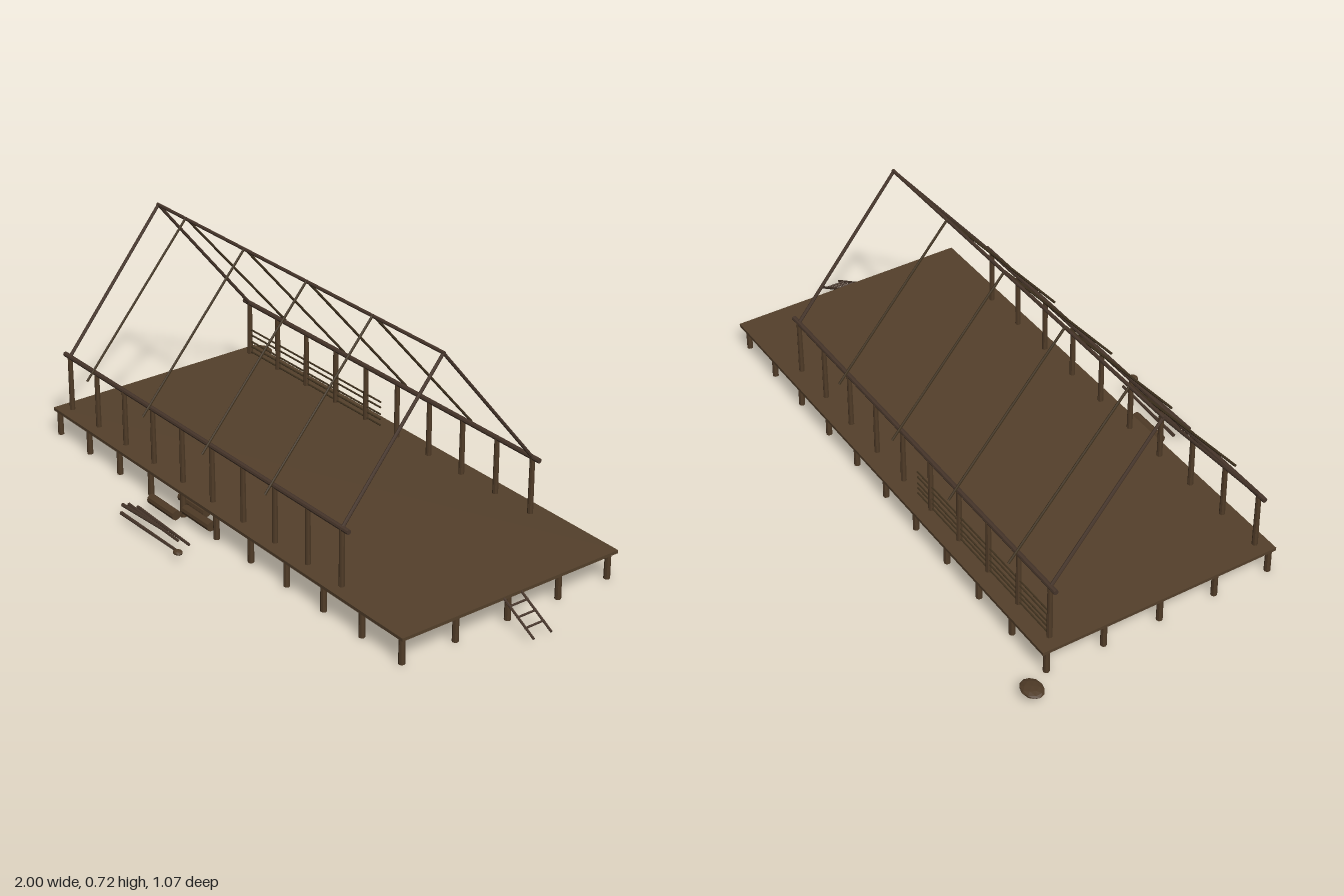
import * as THREE from 'three';

export function createModel() {
  const root = new THREE.Group();
  root.name = 'stiltHouseFrame';
  const mat = (name, color) => {
    const m = new THREE.MeshStandardMaterial({ color, flatShading: true });
    m.name = name;
    return m;
  };
  const plank = mat('deck brown', 0x54402b);
  const timber = mat('timber brown', 0x4f3b27);
  const beamWood = mat('beam brown', 0x46352a);
  const caneWood = mat('cane brown', 0x40321f);

  const group = (name) => {
    const g = new THREE.Group();
    g.name = name;
    root.add(g);
    return g;
  };
  // Round pole between two points
  const up = new THREE.Vector3(0, 1, 0);
  const pole = (parent, name, a, b, r0, r1, material, sides = 8) => {
    const p = new THREE.Vector3(...a), q = new THREE.Vector3(...b);
    const d = q.clone().sub(p);
    const m = new THREE.Mesh(new THREE.CylinderGeometry(r1, r0, d.length(), sides), material);
    m.position.copy(p).add(q).multiplyScalar(0.5);
    m.quaternion.setFromUnitVectors(up, d.normalize());
    m.name = name;
    parent.add(m);
    return m;
  };
  const midZ = -0.03, x0 = -0.863, x1 = 0.549;
  const wallZ = [0.323, -0.383];

  // Deck slab
  const deck = new THREE.Mesh(new THREE.BoxGeometry(1.78, 0.01, 0.8), plank);
  deck.position.set(-0.02, 0.087, -0.035);
  deck.name = 'deck';
  root.add(deck);

  // Stilts in five rows, each row carrying a thin joist
  const stilts = group('stilts'), joists = group('joists');
  for (let j = 0; j < 5; j++) {
    const z = 0.352 - j * 0.191;
    for (let i = 0; i < 11; i++) {
      const x = -0.893 + i * 0.1746;
      pole(stilts, 'stilt', [x, 0, z], [x, 0.083, z], 0.01, 0.0095, timber);
    }
    pole(joists, 'joist', [-0.9, 0.081, z], [0.862, 0.081, z], 0.004, 0.004, beamWood, 6);
  }

  // Wall posts and top plates
  const walls = group('walls');
  for (const z of wallZ) {
    for (let i = 0; i < 10; i++) {
      const x = x0 + (x1 - x0) * i / 9;
      pole(walls, 'wallPost', [x, 0.09, z], [x, 0.275, z], 0.009, 0.008, timber);
    }
    pole(walls, 'topPlate', [-0.892, 0.277, z], [0.58, 0.277, z], 0.008, 0.008, beamWood);
  }

  // Ridge, end rafters, and overhanging inner rafters
  const roof = group('roofFrame');
  pole(roof, 'ridge', [x0 - 0.004, 0.713, midZ], [x1 + 0.004, 0.713, midZ], 0.0055, 0.0055, beamWood);
  for (const x of [x0, x1])
    for (const z of wallZ)
      pole(roof, 'endRafter', [x, 0.277, z], [x, 0.712, midZ], 0.0055, 0.005, beamWood);
  for (let i = 0; i < 4; i++) {
    const x = -0.708 + i * 0.3145;
    for (const s of [-1, 1])
      pole(roof, 'rafter', [x, 0.259, midZ + s * 0.388], [x, 0.716, midZ], 0.004, 0.004, caneWood, 6);
  }

  // Cane rails on part of the back wall
  const rails = group('wallCanes');
  for (const y of [0.1, 0.12, 0.138, 0.162, 0.181])
    pole(rails, 'cane', [x0, y, wallZ[1]], [-0.16, y, wallZ[1]], 0.003, 0.003, caneWood, 6);

  // Ladder leaning on the deck edge
  const ladder = group('ladder');
  for (const z of [0, -0.065])
    pole(ladder, 'ladderRail', [0.868, 0.087, z], [0.997, 0.017, z], 0.004, 0.004, beamWood, 6);
  for (const t of [0.2, 0.47, 0.73]) {
    const x = 0.868 + 0.129 * t, y = 0.087 - 0.07 * t;
    pole(ladder, 'rung', [x, y, 0.003], [x, y, -0.068], 0.0035, 0.0035, beamWood, 6);
  }

  // Cut logs lying beside the front edge
  const logs = group('logs');
  for (const [x, z] of [[-0.285, 0.407], [-0.165, 0.363], [-0.245, 0.323]])
    pole(logs, 'log', [x, 0.04, z], [x + 0.135, 0.04, z], 0.016, 0.016, timber, 10);

  // Loose sticks
  const sticks = group('sticks');
  for (const [xa, xb, y, za, zb] of [
    [-0.28, 0.005, 0.03, 0.46, 0.468],
    [-0.295, -0.02, 0.04, 0.482, 0.49],
    [-0.305, -0.1, 0.04, 0.498, 0.487],
    [-0.28, 0.01, 0.03, 0.52, 0.517],
  ])
    pole(sticks, 'stick', [xa, y, za], [xb, y, zb], 0.006, 0.0045, beamWood, 6);

  // Faceted stones
  const stone = (name, pos, size) => {
    const m = new THREE.Mesh(new THREE.IcosahedronGeometry(1, 1), timber);
    m.position.set(...pos);
    m.scale.set(...size);
    m.name = name;
    root.add(m);
  };
  stone('smallStone', [0.022, 0.03, 0.52], [0.017, 0.008, 0.014]);
  stone('stone', [-0.958, 0.034, -0.501], [0.042, 0.011, 0.033]);

  return root;
}
